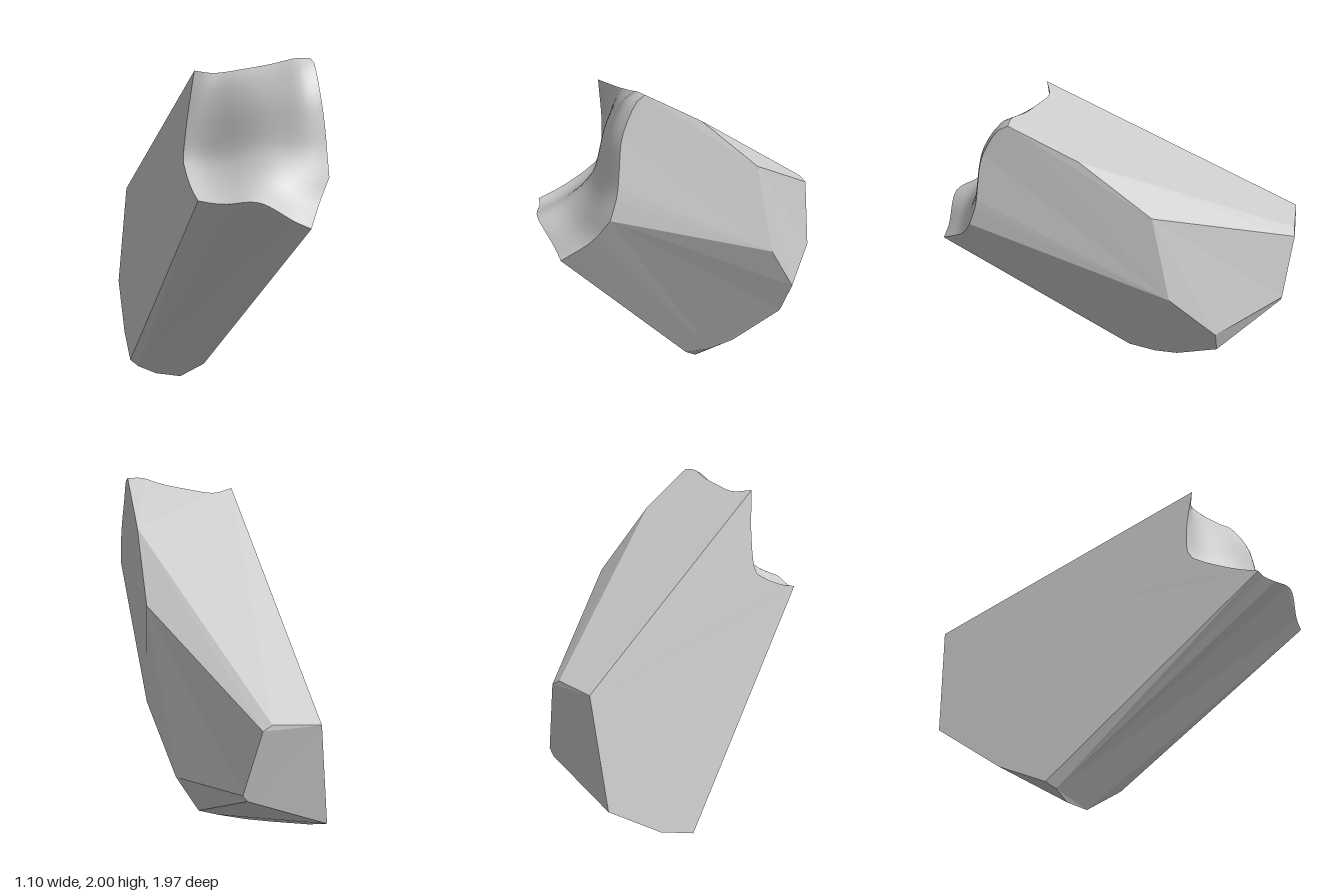
import * as THREE from 'three';

const v = (x, y, z) => new THREE.Vector3(x, y, z);
const spline = (pts, n) => new THREE.CatmullRomCurve3(pts, false, 'centripetal').getSpacedPoints(n);

// Turn a loop of corners into triangles that face away from the centre
function addFacet(out, loop, centre) {
  const normal = v(0, 0, 0), mid = v(0, 0, 0);
  loop.forEach((p, i) => {
    normal.add(p.clone().cross(loop[(i + 1) % loop.length]));
    mid.addScaledVector(p, 1 / loop.length);
  });
  normal.normalize();
  if (normal.dot(mid.sub(centre)) < 0) normal.negate();
  const ax = loop[0].clone().sub(loop[1]).projectOnPlane(normal).normalize();
  const ay = normal.clone().cross(ax);
  const flat = loop.map(p => new THREE.Vector2(p.dot(ax), p.dot(ay)));
  for (const [a, b, c] of THREE.ShapeUtils.triangulateShape(flat, [])) {
    const cross = flat[b].clone().sub(flat[a]).cross(flat[c].clone().sub(flat[a]));
    for (const i of cross > 0 ? [a, b, c] : [a, c, b]) out.push(...loop[i].toArray());
  }
}

// Smooth patch blended between four border curves, with a soft bulge
function fracturePatch(top, bottom, left, right) {
  const nu = top.length - 1, nv = left.length - 1, pos = [], index = [];
  for (let j = 0; j <= nv; j++) {
    for (let i = 0; i <= nu; i++) {
      const s = i / nu, t = j / nv;
      const p = left[j].clone().lerp(right[j], s).add(top[i].clone().lerp(bottom[i], t));
      p.sub(top[0].clone().lerp(top[nu], s).lerp(bottom[0].clone().lerp(bottom[nu], s), t));
      const bulge = 27 * s * s * (1 - s) * t * (1 - t);
      p.y += 0.02 * bulge;
      p.z += 0.07 * bulge;
      pos.push(p.x, p.y, p.z);
      if (i < nu && j < nv) {
        const a = j * (nu + 1) + i, b = a + nu + 1;
        index.push(a, b, a + 1, a + 1, b, b + 1);
      }
    }
  }
  const g = new THREE.BufferGeometry();
  g.setAttribute('position', new THREE.Float32BufferAttribute(pos, 3));
  g.setIndex(index);
  g.computeVertexNormals();
  return g;
}

export function createModel() {
  const group = new THREE.Group();
  group.name = 'rockShard';

  // Corners around the broken end
  const topL = v(-0.14, 1.935, 0.48), topR = v(0.48, 2, 0.505);
  const sideR = v(0.545, 1.39, 0.745), lowR = v(0.41, 1.165, 0.97), lowL = v(-0.155, 1.3, 0.86);

  // Corners of the right side
  const ridge = v(0.43, 1.8, 0.15), shoulder = v(0.39, 1.47, -0.235), waist = v(0.405, 0.93, -0.345);
  const hipHigh = v(0.255, 0.585, -0.605), hipLow = v(0.13, 0.36, -0.605);

  // Corners of the foot
  const footR = v(-0.045, 0.13, -0.02), footMid = v(-0.04, 0.11, -0.19), footBack = v(0, 0.155, -0.34);
  const tipR = v(-0.18, 0.003, -0.165), tipL = v(-0.33, 0.01, -0.215);
  const footL = v(-0.44, 0.055, -0.23), heelL = v(-0.49, 0.085, -0.27), heelBack = v(-0.52, 0.19, -0.535);

  // Corners of the back
  const backLow = v(-0.55, 0.44, -0.91), backTopL = v(-0.485, 1.075, -0.965);
  const backTopMid = v(-0.23, 1.09, -0.975), backTopR = v(-0.18, 1.06, -0.985);
  const backR = v(-0.085, 0.665, -0.955), backLowR = v(-0.11, 0.625, -0.95);

  // Border curves of the broken end
  const top = spline([topL, v(-0.03, 1.92, 0.435), v(0.12, 1.94, 0.45), v(0.28, 1.97, 0.475),
    v(0.4, 2, 0.51), topR], 20);
  const bottom = spline([lowL, v(-0.09, 1.29, 0.88), v(-0.02, 1.29, 0.92), v(0.14, 1.305, 0.98),
    v(0.33, 1.2, 0.965), lowR], 20);
  const left = spline([topL, v(-0.18, 1.65, 0.45), v(-0.2, 1.46, 0.47), v(-0.195, 1.41, 0.54),
    v(-0.175, 1.335, 0.72), lowL], 18);
  const rightUpper = spline([topR, v(0.49, 1.98, 0.55), v(0.51, 1.81, 0.65), v(0.53, 1.65, 0.68),
    v(0.54, 1.52, 0.7), sideR], 12);
  const rightLower = spline([sideR, v(0.48, 1.27, 0.82), lowR], 6);

  const facets = [
    [...left, heelL, heelBack, backLow, backTopL],                          // left side
    [...top, ridge, backTopMid, backTopL],                                  // top slope
    [ridge, shoulder, backTopR, backTopMid],                                // top bevel
    [...rightUpper, waist, shoulder, ridge],                                // upper right
    [...rightLower, footR, footMid, footBack, hipLow, hipHigh, waist],      // lower right
    [shoulder, waist, hipHigh, backR, backTopR],                            // back right
    [backTopL, backTopMid, backTopR, backR, backLowR, backLow],             // back
    [hipHigh, hipLow, backLowR, backR],                                     // back bevel
    [hipLow, backLowR, backLow, heelBack, tipL, tipR, footBack],            // underside
    [heelBack, tipL, footL, heelL],                                         // left heel
    [tipR, footBack, footMid, footR],                                       // right heel
    [...bottom, footR, tipR, tipL, footL],                                  // front slope
    [lowL, footL, heelL],                                                   // front bevel
  ];
  const pos = [];
  for (const loop of facets) addFacet(pos, loop, v(0, 0.95, 0));
  const bodyGeo = new THREE.BufferGeometry();
  bodyGeo.setAttribute('position', new THREE.Float32BufferAttribute(pos, 3));
  bodyGeo.computeVertexNormals();

  const body = new THREE.Mesh(bodyGeo, new THREE.MeshStandardMaterial({ color: 0xcccccc, flatShading: true }));
  body.name = 'facetedBody';
  const fracture = new THREE.Mesh(
    fracturePatch(top, bottom, left, [...rightUpper, ...rightLower.slice(1)]),
    new THREE.MeshStandardMaterial({ color: 0xcccccc, side: THREE.DoubleSide }));
  fracture.name = 'brokenEnd';
  group.add(body, fracture);
  return group;
}
